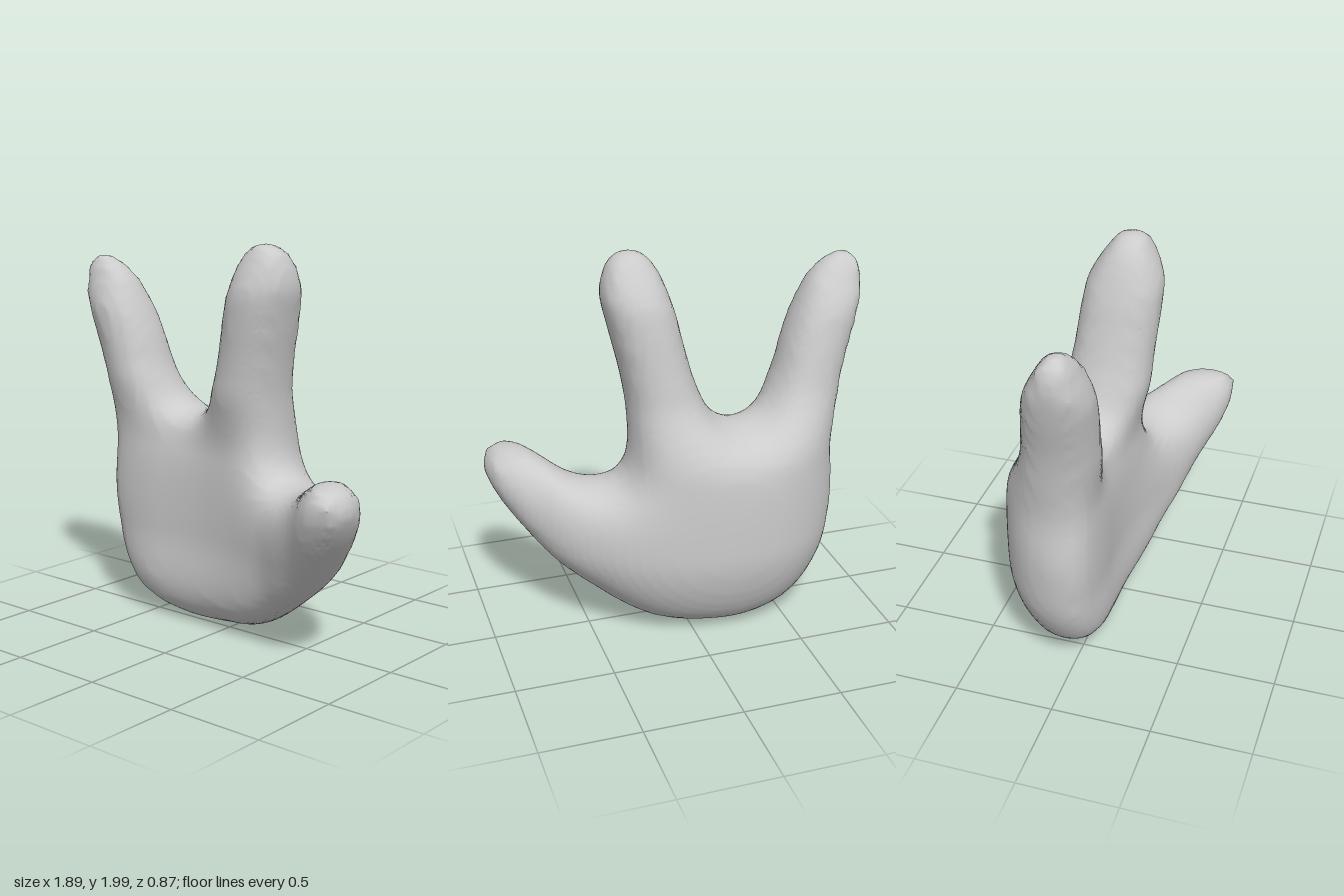
import * as THREE from 'three';

// Front outline of the hand, clockwise from the tip of the little finger
const OUTLINE = [
  -.95, 1.76, -.93, 1.86, -.87, 1.9, -.79, 1.88, -.7, 1.81, -.62, 1.67, -.55, 1.5, -.49, 1.31, // little finger
  -.4, 1.16, -.27, 1.115, -.14, 1.17,                                                         // saddle
  -.06, 1.33, 0, 1.55, .04, 1.72, .12, 1.92, .19, 1.99, .27, 2, .34, 1.96, .39, 1.81,          // index finger
  .36, 1.63, .31, 1.4, .285, 1.2, .3, .95, .36, .86, .46, .83,
  .56, .845, .68, .91, .76, .945, .84, .95, .92, .915, .95, .83, .91, .72, .81, .57, .65, .38, // thumb
  .46, .22, .3, .11, .18, .055, 0, .02, -.25, .005, -.42, .03, -.52, .07, -.62, .13,           // heel
  -.7, .24, -.76, .38, -.795, .6, -.8, .72, -.785, .95, -.81, 1.15, -.85, 1.36, -.92, 1.6,
];

const STEP = .03;                  // grid spacing
const N = [74, 76, 44];            // grid points in x, y, z
const ORIGIN = [-1.095, -.12, -.66];
const ROUND = .12;                 // width over which the edges round off
const { lerp, smoothstep, clamp } = THREE.MathUtils;

// Signed distance to the outline, positive inside
function signedDistance(x, y, pts) {
  let best = Infinity, inside = false;
  for (let i = 0, j = pts.length - 1; i < pts.length; j = i++) {
    const a = pts[j], b = pts[i];
    const ex = b.x - a.x, ey = b.y - a.y;
    const t = clamp(((x - a.x) * ex + (y - a.y) * ey) / (ex * ex + ey * ey || 1), 0, 1);
    best = Math.min(best, Math.hypot(x - a.x - t * ex, y - a.y - t * ey));
    if ((a.y > y) !== (b.y > y) && x < a.x + (y - a.y) * ex / ey) inside = !inside;
  }
  return inside ? best : -best;
}

// Swelling of the outline: zero on its edge, smoothly rising to one in the palm
function inflate() {
  const [nx, ny] = N;
  const ctrl = [];
  for (let i = 0; i < OUTLINE.length; i += 2) ctrl.push(new THREE.Vector3(OUTLINE[i], OUTLINE[i + 1], 0));
  const pts = new THREE.CatmullRomCurve3(ctrl, true).getPoints(200).slice(0, -1);
  const u = new Float64Array(nx * ny), free = [];
  for (let j = 0; j < ny; j++) {
    for (let i = 0; i < nx; i++) {
      const d = signedDistance(ORIGIN[0] + i * STEP, ORIGIN[1] + j * STEP, pts);
      u[i + nx * j] = .9 * d / ROUND;
      if (d > STEP) free.push(i + nx * j);
    }
  }
  const q = (STEP / ROUND) ** 2;
  for (let pass = 0; pass < 300; pass++) {
    for (const p of free) u[p] = (u[p - 1] + u[p + 1] + u[p - nx] + u[p + nx] + q) / (4 + q);
  }
  return u;
}

// Middle surface: cupped palm, thumb swung forward and leaning, fingers straighter
function middle(x, y) {
  const bend = x - .1 * smoothstep(x, .7, 1) + .2;
  const thumb = .025 * smoothstep(x, .3, .8) + .25 * (y - .7) * smoothstep(x, .45, .85);
  const heel = .065 * (1 - smoothstep(y, 0, .5));
  const palm = -.165 + (bend > 0 ? .367 : .3) * bend ** 2 + thumb + heel;
  const finger = -.06 + .1 * (y - 1.15);
  return lerp(palm, finger, smoothstep(y, .92, 1.3) * (1 - smoothstep(x, .42, .6)));
}

// Half thickness: fuller thumb, slimmer fingertips and outer edge
function thickness(x, y) {
  const thumb = 1 + .06 * smoothstep(x, .3, .6);
  const tip = 1 - .36 * smoothstep(y - .12 * x, 1.7, 2);
  const heel = 1 - .03 * (1 - smoothstep(y, 0, .35));
  const edge = 1 - .13 * (1 - smoothstep(x, -.85, -.4));
  return .275 * thumb * tip * heel * edge;
}

// Mesh the zero surface of a field sampled on the grid, one vertex per crossed cell
function surfaceGeometry(field) {
  const [nx, ny, nz] = N;
  const stride = [1, nx, nx * ny];
  const corners = [0, 1, 2, 3, 4, 5, 6, 7].map(c => [c & 1, (c >> 1) & 1, c >> 2]);
  const offset = corners.map(c => c[0] + c[1] * stride[1] + c[2] * stride[2]);
  const vertexOf = new Int32Array(nx * ny * nz).fill(-1);
  const positions = [], index = [];
  const eachCell = visit => {
    for (let k = 1; k < nz - 1; k++)
      for (let j = 1; j < ny - 1; j++)
        for (let i = 1; i < nx - 1; i++) visit([i, j, k], i + j * stride[1] + k * stride[2]);
  };

  eachCell((cell, p) => {
    const sum = [0, 0, 0];
    let hits = 0;
    for (let a = 0; a < 8; a++) {
      for (let axis = 0; axis < 3; axis++) {
        const b = a | (1 << axis);
        if (a === b) continue;
        const fa = field[p + offset[a]], fb = field[p + offset[b]];
        if ((fa > 0) === (fb > 0)) continue;
        const t = fa / (fa - fb);
        for (let n = 0; n < 3; n++) sum[n] += corners[a][n] + t * (corners[b][n] - corners[a][n]);
        hits++;
      }
    }
    if (!hits) return;
    vertexOf[p] = positions.length / 3;
    for (let n = 0; n < 3; n++) positions.push(ORIGIN[n] + STEP * (cell[n] + sum[n] / hits));
  });

  eachCell((cell, p) => {
    for (let axis = 0; axis < 3; axis++) {
      const inside = field[p] > 0;
      if (inside === field[p + stride[axis]] > 0) continue;
      const sb = stride[(axis + 1) % 3], sc = stride[(axis + 2) % 3];
      const quad = [p - sb - sc, p - sc, p, p - sb].map(c => vertexOf[c]);
      if (!inside) quad.reverse();
      const [a, b, c, d] = quad;
      index.push(a, b, c, a, c, d);
    }
  });

  const geometry = new THREE.BufferGeometry();
  geometry.setAttribute('position', new THREE.Float32BufferAttribute(positions, 3));
  geometry.setIndex(index);
  geometry.computeVertexNormals();
  return geometry;
}

export function createModel() {
  const [nx, ny, nz] = N;
  const swell = inflate();
  const field = new Float64Array(nx * ny * nz);
  for (let j = 0; j < ny; j++) {
    for (let i = 0; i < nx; i++) {
      const x = ORIGIN[0] + i * STEP, y = ORIGIN[1] + j * STEP;
      const m = middle(x, y), t = thickness(x, y);
      for (let k = 0; k < nz; k++) {
        const z = ORIGIN[2] + k * STEP;
        field[i + nx * (j + ny * k)] = swell[i + nx * j] - ((z - m) / t) ** 2;
      }
    }
  }

  // Palm, thumb and two raised fingers as one continuous skin
  const hand = new THREE.Mesh(surfaceGeometry(field), new THREE.MeshStandardMaterial({ color: 0xcccccc }));
  hand.name = 'hand';
  hand.geometry.computeBoundingBox();
  hand.position.y = -hand.geometry.boundingBox.min.y;

  const group = new THREE.Group();
  group.name = 'handModel';
  group.add(hand);
  return group;
}
